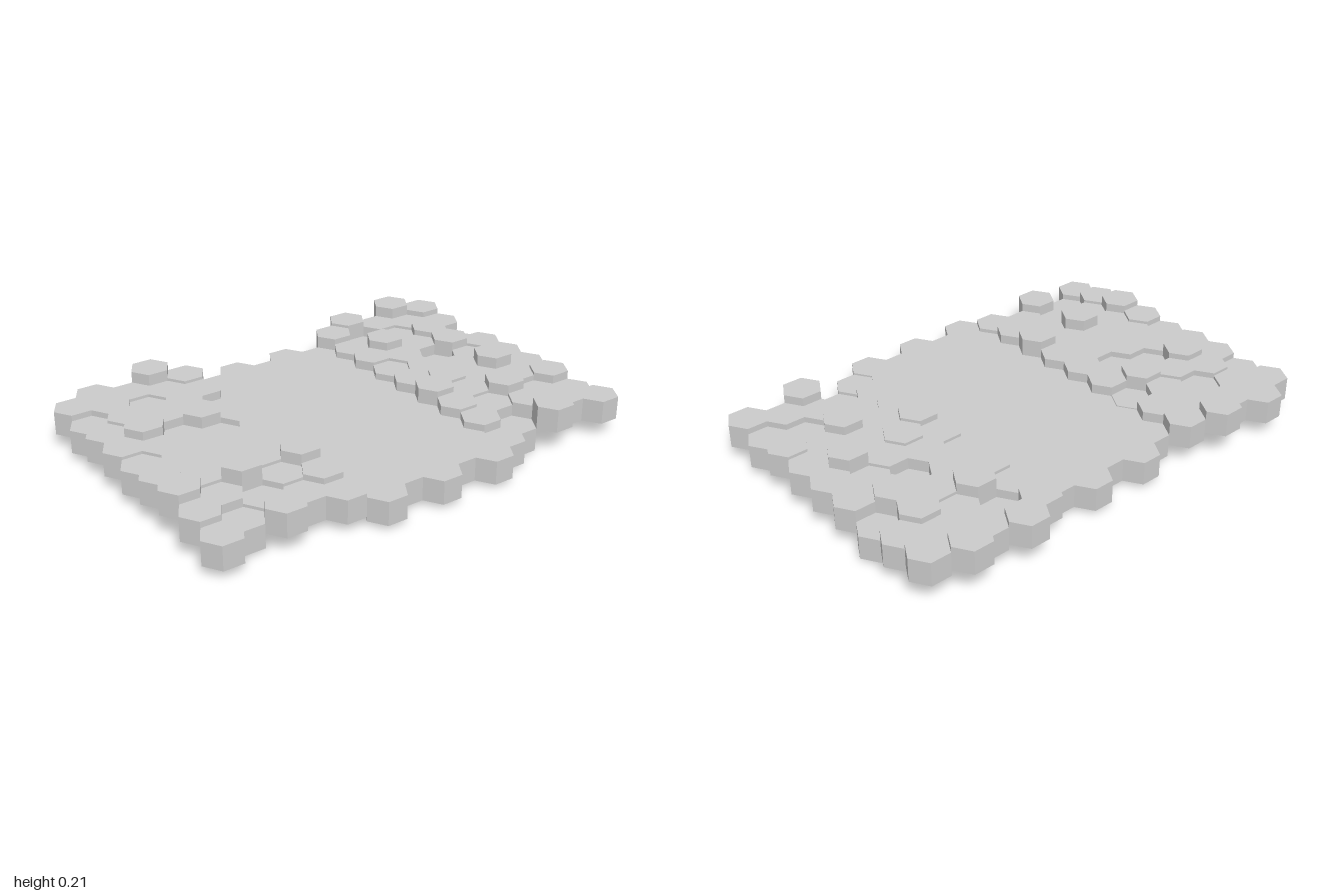
import * as THREE from 'three';

const ROWS = 9;
const R = 2 / 23;            // hexagon radius along x
const PITCH = R * 1.5;       // column spacing
const H = 0.0728;            // half depth of a hexagon along z
const THICK = 0.1;           // thickness of the tiles and the channel floor

// Height steps of the bank tiles, from back to front, by column number
const BANKS = {
  0: '535546853', 1: '556855541', 2: '546355926', 3: '955735543', 4: '652555853',
  10: '645457541', 11: '718556540', 12: '545155858', 13: '957749535', 14: '751555635',
};

const columnX = (c) => (c - 7) * PITCH;
const isChannel = (c) => c >= 5 && c <= 9;

// Back edge of a column: odd columns shift back on the banks, forward in the channel
function backZ(c) {
  if (c % 2 === 0) return -9 * H;
  return isChannel(c) ? -8 * H : -10 * H;
}

// One flat slab whose outline follows the hexagon edges
function channelGeometry() {
  const pts = [];
  const add = (x, z) => pts.push(new THREE.Vector2(x, -z));
  for (let c = 5; c <= 9; c++) {
    add(columnX(c) - R / 2, backZ(c));
    add(columnX(c) + R / 2, backZ(c));
  }
  for (let i = 1; i < ROWS * 2; i++) {
    add(columnX(9) + (i % 2 ? R : R / 2), backZ(9) + i * H);
  }
  for (let c = 9; c >= 5; c--) {
    add(columnX(c) + R / 2, backZ(c) + ROWS * 2 * H);
    add(columnX(c) - R / 2, backZ(c) + ROWS * 2 * H);
  }
  for (let i = ROWS * 2 - 1; i > 0; i--) {
    add(columnX(5) - (i % 2 ? R : R / 2), backZ(5) + i * H);
  }
  const geo = new THREE.ExtrudeGeometry(new THREE.Shape(pts), { depth: THICK, bevelEnabled: false });
  return geo.rotateX(-Math.PI / 2);
}

export function createModel() {
  const model = new THREE.Group();
  model.name = 'hexTileChannel';
  const material = new THREE.MeshStandardMaterial({ color: 0xcccccc, flatShading: true });

  // Sunken flat channel floor
  const channel = new THREE.Mesh(channelGeometry(), material);
  channel.name = 'channelFloor';
  channel.position.y = 0.02;
  model.add(channel);

  // Uneven hexagonal tiles on both banks
  const hex = new THREE.CylinderGeometry(R, R, THICK, 6);
  hex.rotateY(Math.PI / 2);
  hex.scale(1, 1, H / (R * Math.sin(Math.PI / 3)));

  const rightBank = new THREE.Group();
  rightBank.name = 'rightBank';
  const leftBank = new THREE.Group();
  leftBank.name = 'leftBank';
  model.add(rightBank, leftBank);

  for (const [key, steps] of Object.entries(BANKS)) {
    const c = Number(key);
    for (let r = 0; r < ROWS; r++) {
      const tile = new THREE.Mesh(hex, material);
      tile.name = 'bankTile';
      const bottom = 0.0122 * Number(steps[r]);
      tile.position.set(columnX(c), bottom + THICK / 2, backZ(c) + H * (2 * r + 1));
      (c < 7 ? rightBank : leftBank).add(tile);
    }
  }

  return model;
}
